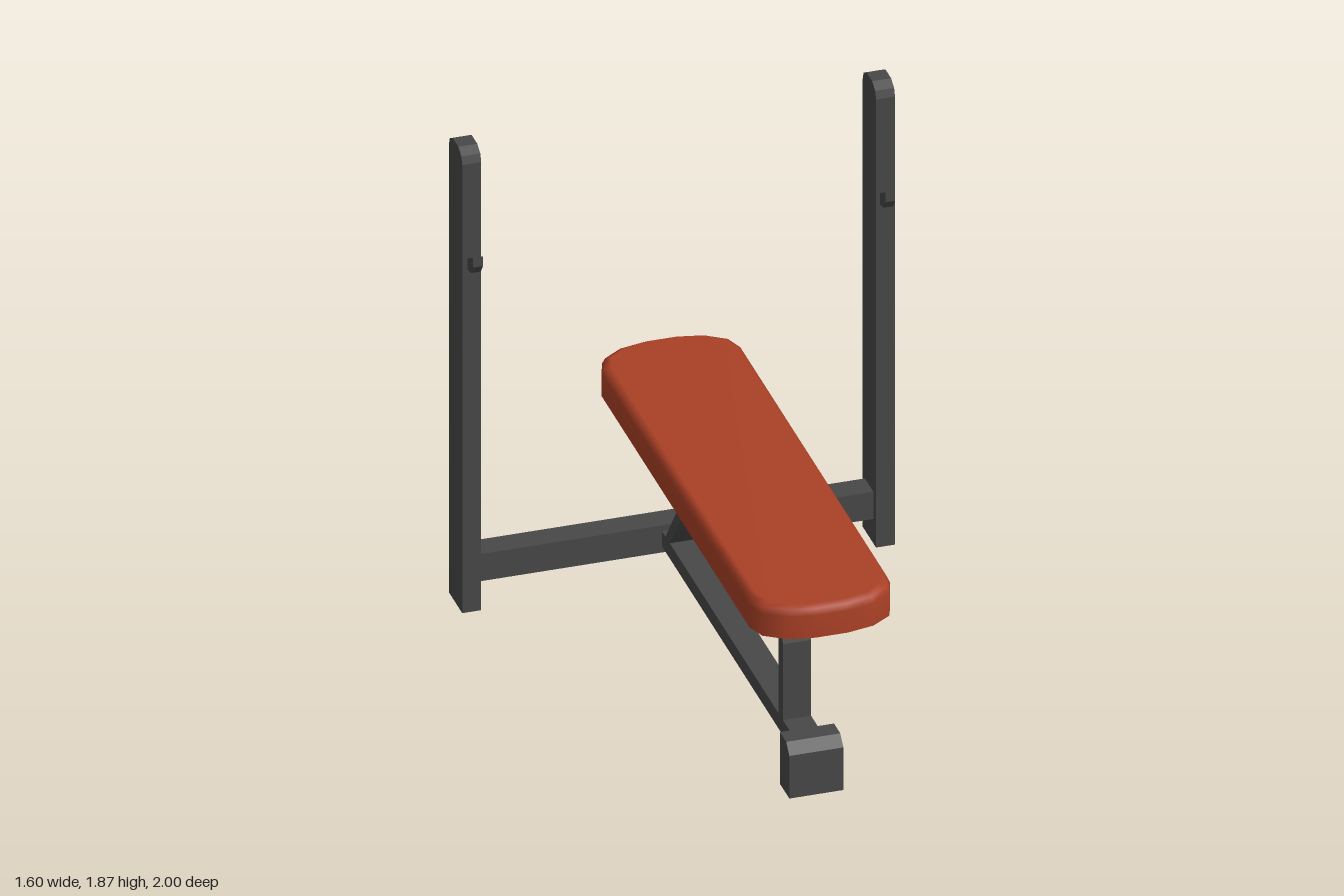
import * as THREE from 'three';

const frameMat = new THREE.MeshStandardMaterial({ color: 0x484849 });
frameMat.name = 'dark grey steel';
const padMat = new THREE.MeshStandardMaterial({ color: 0xaa4026 });
padMat.name = 'red brown vinyl';

// Extrudes a side profile of [z, y] points across x, centred on the given x.
function sidePart(name, points, width, x = 0) {
  const shape = new THREE.Shape(points.map(([z, y]) => new THREE.Vector2(z, y)));
  const geo = new THREE.ExtrudeGeometry(shape, { depth: width, bevelEnabled: false });
  geo.translate(0, 0, -width / 2);
  geo.rotateY(-Math.PI / 2);
  const mesh = new THREE.Mesh(geo, frameMat);
  mesh.name = name;
  mesh.position.x = x;
  return mesh;
}

// Padded board: stacked rings with a rounded upper edge and a flat underside.
function createPad() {
  const quarter = [[0.26, 0.86], [0.235, 0.93], [0.16, 0.98], [0.06, 1]];
  const half = [...quarter, ...quarter.map(([x, z]) => [-x, z]).reverse()];
  const outline = [...half, ...half.map(([x, z]) => [-x, -z])];
  const n = outline.length;
  const rings = [[0.745, 0], [0.835, 0], [0.858, 0.009], [0.87, 0.028]];
  const pos = [];
  const index = [];
  const addRing = (y, inset) => {
    for (const [x, z] of outline) pos.push(x * (1 - inset / 0.26), y, z * (1 - inset));
  };
  rings.forEach(([y, inset]) => addRing(y, inset));
  const top = rings.length * n;
  pos.push(0, 0.87, 0);
  addRing(0.745, 0);
  const bottom = top + 1 + n;
  pos.push(0, 0.745, 0);
  for (let i = 0; i < n; i++) {
    const j = (i + 1) % n;
    for (let k = 0; k < rings.length - 1; k++) {
      const a = k * n + i, b = k * n + j;
      index.push(a, a + n, b, b, a + n, b + n);
    }
    index.push(top, top - n + j, top - n + i);
    index.push(bottom, top + 1 + i, top + 1 + j);
  }
  const geo = new THREE.BufferGeometry();
  geo.setAttribute('position', new THREE.Float32BufferAttribute(pos, 3));
  geo.setIndex(index);
  geo.computeVertexNormals();
  const mesh = new THREE.Mesh(geo, padMat);
  mesh.name = 'benchPad';
  return mesh;
}

export function createModel() {
  const model = new THREE.Group();
  model.name = 'weightBench';
  model.add(createPad());

  // Uprights with rounded tops, each with a bar hook
  const upright = [
    [-0.78, 0], [-0.78, 1.82], [-0.79, 1.85], [-0.825, 1.87],
    [-0.89, 1.87], [-0.925, 1.85], [-0.935, 1.82], [-0.935, 0],
  ];
  const hook = [
    [-0.785, 1.39], [-0.74, 1.4], [-0.716, 1.435], [-0.716, 1.475], [-0.785, 1.435],
  ];
  for (const [side, s] of [['left', 1], ['right', -1]]) {
    model.add(sidePart(side + 'Upright', upright, 0.07, s * 0.765));
    model.add(sidePart(side + 'BarHook', hook, 0.036, s * 0.762));
  }

  // Base: rear crossbar, centre beam and front foot
  model.add(sidePart('rearCrossbar', [
    [-0.81, 0.1], [-0.81, 0.21], [-0.91, 0.21], [-0.935, 0.185], [-0.935, 0.1],
  ], 1.47));
  model.add(sidePart('centreBeam', [
    [0.72, 0.125], [0.72, 0.187], [-0.815, 0.187], [-0.815, 0.125],
  ], 0.104));
  model.add(sidePart('frontFoot', [
    [0.82, 0], [0.82, 0.173], [0.783, 0.21], [0.71, 0.21], [0.71, 0],
  ], 0.2));

  // Bent support: front leg curving into the seat rail
  model.add(sidePart('bentSupport', [
    [0.595, 0.18], [0.595, 0.495], [0.552, 0.625], [0.437, 0.728], [0.3, 0.746],
    [-0.345, 0.746], [-0.32, 0.71],
    [0.3, 0.71], [0.42, 0.69], [0.512, 0.597], [0.545, 0.482], [0.545, 0.18],
  ], 0.104));
  // Sloping rear strut
  model.add(sidePart('rearStrut', [
    [-0.32, 0.71], [-0.345, 0.746], [-0.77, 0.186], [-0.72, 0.186],
  ], 0.104));

  return model;
}
